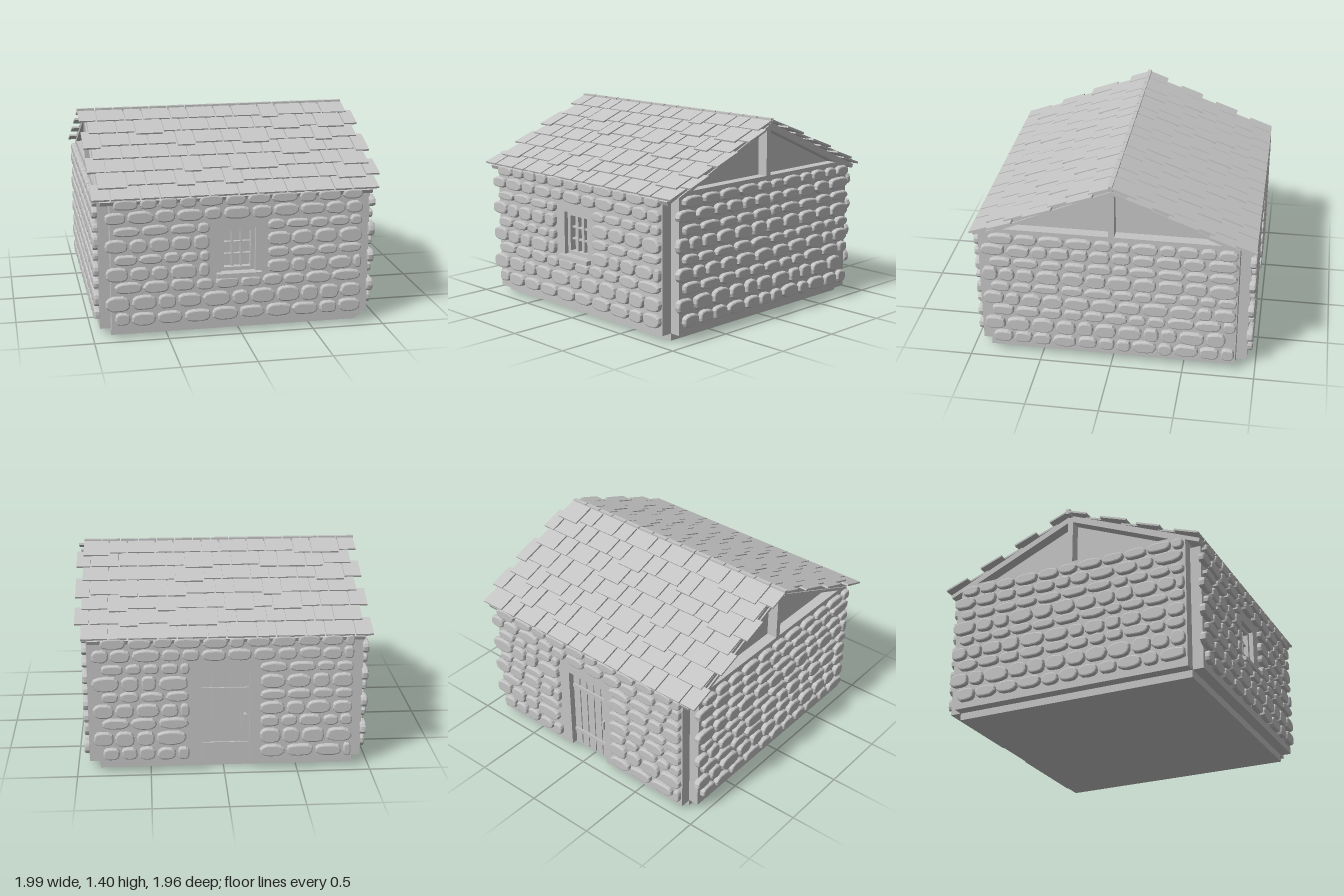
import * as THREE from 'three';
import { mergeGeometries } from 'three/addons/utils/BufferGeometryUtils.js';

const CX = -0.015;             // house body centre in x
const HALF = 0.862;            // half width of the core
const DEPTH = 0.075;           // wall slab thickness
const SLOPE = 0.435;           // roof rise per unit run
const ANGLE = Math.atan(SLOPE);
const UNDER = 1.345;           // underside of the roof at the ridge

const grey = new THREE.MeshStandardMaterial({ color: 0xc4c4c4 });
grey.name = 'stone grey';

let seed = 7;
const rand = () => (seed = (seed * 16807) % 2147483647) / 2147483647;

function mesh(geometry, name, parent) {
  const m = new THREE.Mesh(geometry, grey);
  m.name = name;
  parent.add(m);
  return m;
}

function box(x0, x1, y0, y1, z0, z1) {
  return new THREE.BoxGeometry(x1 - x0, y1 - y0, z1 - z0)
    .translate((x0 + x1) / 2, (y0 + y1) / 2, (z0 + z1) / 2);
}

const polygon = (pts) => new THREE.Shape(pts.map(([x, y]) => new THREE.Vector2(x, y)));
const extrude = (shape, depth) => new THREE.ExtrudeGeometry(shape, { depth, bevelEnabled: false });

// House outline with a pointed gable
function gableShape(bottom) {
  const eave = UNDER - SLOPE * HALF;
  return polygon([[-HALF, bottom], [HALF, bottom], [HALF, eave], [0, UNDER], [-HALF, eave]]);
}

// One rounded, slightly irregular stone with a bevelled rim
function stone(u, v, w, h) {
  const pts = [];
  const n = 12;
  const turn = rand() * 0.5;
  for (let i = 0; i < n; i++) {
    const t = turn + (i / n) * Math.PI * 2;
    const k = 0.95 + rand() * 0.1;
    const c = Math.cos(t), s = Math.sin(t);
    pts.push([
      Math.sign(c) * Math.abs(c) ** 0.75 * w / 2 * k,
      Math.sign(s) * Math.abs(s) ** 0.75 * h / 2 * k,
    ]);
  }
  return new THREE.ExtrudeGeometry(polygon(pts), {
    depth: 0.02, bevelThickness: 0.012, bevelSize: 0.01, bevelOffset: -0.01, bevelSegments: 2,
  }).translate(u, v, DEPTH + 0.003);
}

// Courses of stones: centre height and stone height
const COURSES = [
  [0.14, 0.09], [0.25, 0.105], [0.36, 0.078], [0.455, 0.095], [0.555, 0.068],
  [0.65, 0.1], [0.75, 0.068], [0.845, 0.085], [0.935, 0.076],
];

// Lay all courses on one wall, leaving a gap where the opening is
function stones(gap) {
  const out = [];
  COURSES.forEach(([v, h], row) => {
    const start = row % 2 ? -0.9 : -0.84;
    const spans = gap && v > gap.y0 && v < gap.y1
      ? [[start, gap.x0], [gap.x1, 0.855]] : [[start, 0.855]];
    for (const [a, b] of spans) {
      let u = a;
      while (b - u > 0.05) {
        let w = 0.1 + rand() * 0.085;
        if (b - u - w < 0.06) w = Math.min(b - u, 0.2);
        out.push(stone(u + w / 2, v + (rand() - 0.5) * 0.006, w, h * (0.9 + rand() * 0.13)));
        u += w + 0.013;
      }
    }
  });
  return mergeGeometries(out);
}

// Wall slab in its own frame: x to the right, y up, z outward
function wall(name, shape, gap, parent, x, z, turn) {
  const g = new THREE.Group();
  g.name = name;
  g.position.set(x, 0, z);
  g.rotation.y = turn;
  mesh(extrude(shape, DEPTH), name + 'Slab', g);
  mesh(stones(gap), name + 'Stones', g);
  parent.add(g);
  return g;
}

function frontWall(house) {
  const shape = polygon([[-HALF, 0.05], [HALF, 0.05], [HALF, 0.935], [-HALF, 0.935]]);
  shape.holes.push(polygon([[-0.12, 0.42], [-0.12, 0.73], [0.12, 0.73], [0.12, 0.42]]));
  const gap = { x0: -0.2, x1: 0.2, y0: 0.4, y1: 0.8 };
  const g = wall('frontWall', shape, gap, house, CX, HALF + 0.003, 0);
  // Window frame, glazing bars and sill
  const frame = polygon([[-0.12, 0.42], [0.12, 0.42], [0.12, 0.73], [-0.12, 0.73]]);
  frame.holes.push(polygon([[-0.092, 0.45], [-0.092, 0.702], [0.092, 0.702], [0.092, 0.45]]));
  mesh(extrude(frame, 0.045), 'windowFrame', g);
  const bars = [];
  for (const s of [-1, 1]) {
    bars.push(box(s * 0.031 - 0.006, s * 0.031 + 0.006, 0.45, 0.702, 0, 0.03));
    bars.push(box(-0.092, 0.092, 0.576 + s * 0.042 - 0.006, 0.576 + s * 0.042 + 0.006, 0, 0.028));
  }
  mesh(mergeGeometries(bars), 'windowBars', g);
  mesh(box(-0.15, 0.155, 0.395, 0.425, 0.02, 0.115), 'windowSill', g);
}

function backWall(house) {
  const shape = polygon([[-HALF, 0.05], [-0.17, 0.05], [-0.17, 0.7], [0.16, 0.7],
    [0.16, 0.05], [HALF, 0.05], [HALF, 0.935], [-HALF, 0.935]]);
  const gap = { x0: -0.25, x1: 0.23, y0: 0, y1: 0.8 };
  const g = wall('backWall', shape, gap, house, CX, -HALF - 0.003, Math.PI);
  // Plank door with two battens and a handle
  const planks = [];
  const w = 0.33 / 5;
  for (let i = 0; i < 5; i++) {
    const x = -0.17 + i * w;
    planks.push(box(x + 0.004, x + w - 0.004, 0.055, 0.695, 0, 0.035));
  }
  mesh(mergeGeometries(planks), 'doorPlanks', g);
  mesh(box(-0.17, 0.16, 0.05, 0.7, 0, 0.025), 'doorPanel', g);
  for (const y of [0.16, 0.56]) mesh(box(-0.165, 0.155, y, y + 0.03, 0.03, 0.045), 'doorBatten', g);
  mesh(box(0.12, 0.137, 0.33, 0.4, 0.03, 0.065), 'doorHandle', g);
}

// Side walls carry the open timber frame of the gable
function sideWall(name, house, side) {
  const shape = gableShape(0.05);
  for (const s of [-1, 1]) {
    shape.holes.push(polygon([[s * 0.02, 1.0], [s * 0.74, 1.0], [s * 0.02, 1.313]]));
  }
  wall(name, shape, null, house, CX + side * 0.86, 0, side * Math.PI / 2);
}

// One roof slope: dir +1 runs to the front, -1 to the back
function roofSlope(name, house, dir) {
  const g = new THREE.Group();
  g.name = name;
  g.position.y = 1.375;
  g.rotation.x = dir * ANGLE;
  const len = 1.05;
  mesh(box(-0.94, 0.91, -0.028, 0, Math.min(0, dir * len), Math.max(0, dir * len)), name + 'Deck', g);

  const rows = 7;
  const step = len / rows;
  const shingles = [];
  for (let r = 0; r < rows; r++) {
    const end = r % 2 ? 1.0 : 0.955;
    let x = r % 2 ? -0.945 : -1;
    for (let i = 0; x < end - 0.03; i++) {
      let w = (i + r) % 2 ? 0.2 : 0.128;
      if (end - x - w < 0.05) w = end - x;
      // Some shingles hang a little lower than the rest
      const extra = r < rows - 1 && rand() < 0.3 ? 0.03 : 0;
      const l = step + extra + (r ? 0.03 : 0);
      const top = r * step - (r ? 0.03 : 0);
      shingles.push(new THREE.BoxGeometry(w - 0.011, 0.013, l)
        .rotateX(-dir * 0.0 + dir * -0.06)
        .translate(x + w / 2, 0.011 + (extra ? 0.003 : 0), dir * (top + l / 2)));
      x += w;
    }
  }
  // Negative tilt lifts the lower edge of each shingle over the next course
  mesh(mergeGeometries(shingles), name + 'Shingles', g);
  house.add(g);
}

export function createModel() {
  const house = new THREE.Group();
  house.name = 'stoneCottage';

  // Core block, seen as the plinth and the gable panels
  const core = extrude(gableShape(0), 1.72).translate(0, 0, -0.86).rotateY(Math.PI / 2);
  mesh(core, 'core', house).position.x = CX;

  frontWall(house);
  backWall(house);
  sideWall('leftWall', house, 1);
  sideWall('rightWall', house, -1);

  roofSlope('frontRoof', house, 1);
  roofSlope('backRoof', house, -1);

  // Ridge capping in short lengths
  const caps = [];
  for (let i = 0; i < 15; i++) {
    const x = -1 + i * 0.13;
    caps.push(box(x + 0.004, x + 0.126, 1.36, 1.397, -0.014, 0.014));
  }
  mesh(mergeGeometries(caps), 'ridgeCaps', house);
  return house;
}
